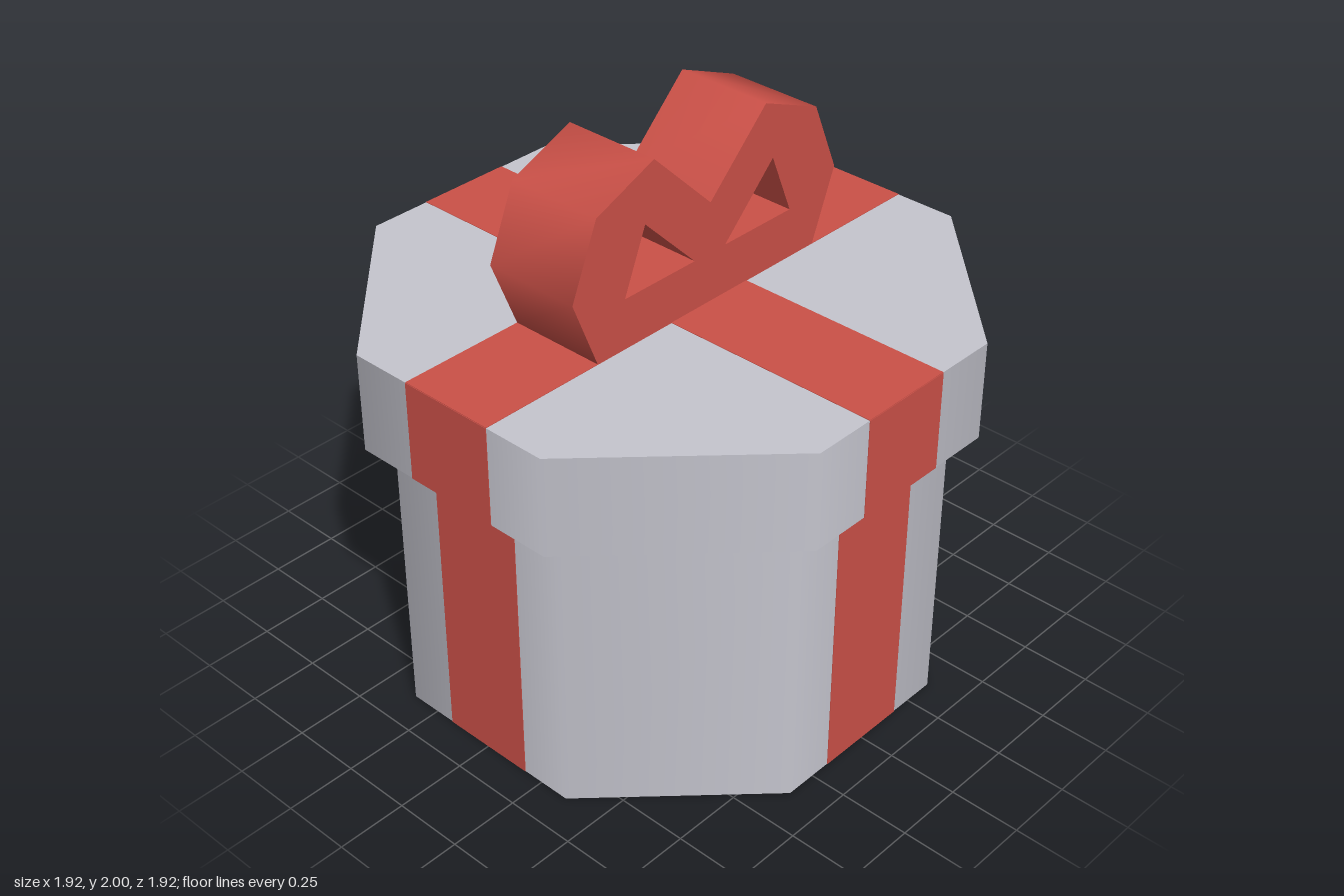
import * as THREE from 'three';
import { toCreasedNormals } from 'three/addons/utils/BufferGeometryUtils.js';

export function createModel() {
  const model = new THREE.Group();
  model.name = 'giftBox';
  const grey = new THREE.MeshStandardMaterial({ name: 'grey card', color: 0xc4c4cd });
  const red = new THREE.MeshStandardMaterial({ name: 'red ribbon', color: 0xca5047 });

  const BODY = 0.87, LID = 0.96; // octagon centre-to-side distances
  const SEAM = 1.05, TOP = 1.4, HALF = 0.175, THIN = 0.004;

  function add(name, geometry, material, parent = model) {
    const mesh = new THREE.Mesh(geometry, material);
    mesh.name = name;
    parent.add(mesh);
    return mesh;
  }

  // Octagonal drum with softly shaded sides
  function octagon(name, apothem, y0, y1) {
    const r = apothem / Math.cos(Math.PI / 8);
    const g = new THREE.CylinderGeometry(r, r, y1 - y0, 8, 1, false, Math.PI / 8);
    add(name, g.translate(0, (y0 + y1) / 2, 0), grey);
  }
  octagon('boxBody', BODY, 0, SEAM);
  octagon('lid', LID, SEAM, TOP);

  // Ribbon strips down the four main sides
  for (let i = 0; i < 4; i++) {
    const side = new THREE.Group();
    side.name = 'sideRibbon' + (i + 1);
    side.rotation.y = i * Math.PI / 2;
    model.add(side);
    const strip = (name, d, y0, y1) => add(name,
      new THREE.BoxGeometry(HALF * 2, y1 - y0, THIN).translate(0, (y0 + y1) / 2, d), red, side);
    strip('bodyRibbon', BODY, 0, SEAM);
    strip('lidRibbon', LID, SEAM, TOP);
  }

  // Crossed ribbons over the lid
  add('topRibbonLengthwise', new THREE.BoxGeometry(HALF * 2, THIN, LID * 2).translate(0, TOP, 0), red);
  for (const s of [-1, 1]) {
    const length = LID - HALF;
    add('topRibbonCrosswise', new THREE.BoxGeometry(length, THIN, HALF * 2)
      .translate(s * (HALF + length / 2), TOP, 0), red);
  }

  // Bow with two triangular loops
  const half = [[0.5, 1.4], [0.6, 1.65], [0.495, 1.9], [0.25, 2]];
  const mirrored = half.map(([x, y]) => [-x, y]).reverse();
  const points = list => list.map(([x, y]) => new THREE.Vector2(x, y));
  const outline = new THREE.Shape(points([...half, [0, 1.755], ...mirrored]));
  for (const s of [-1, 1]) {
    outline.holes.push(new THREE.Path(points([[s * 0.07, 1.577], [s * 0.38, 1.577], [s * 0.29, 1.797]])));
  }
  const bow = new THREE.ExtrudeGeometry(outline, { depth: HALF * 2, bevelEnabled: false });
  add('bow', toCreasedNormals(bow.translate(0, 0, -HALF), 1.25), red);

  return model;
}
